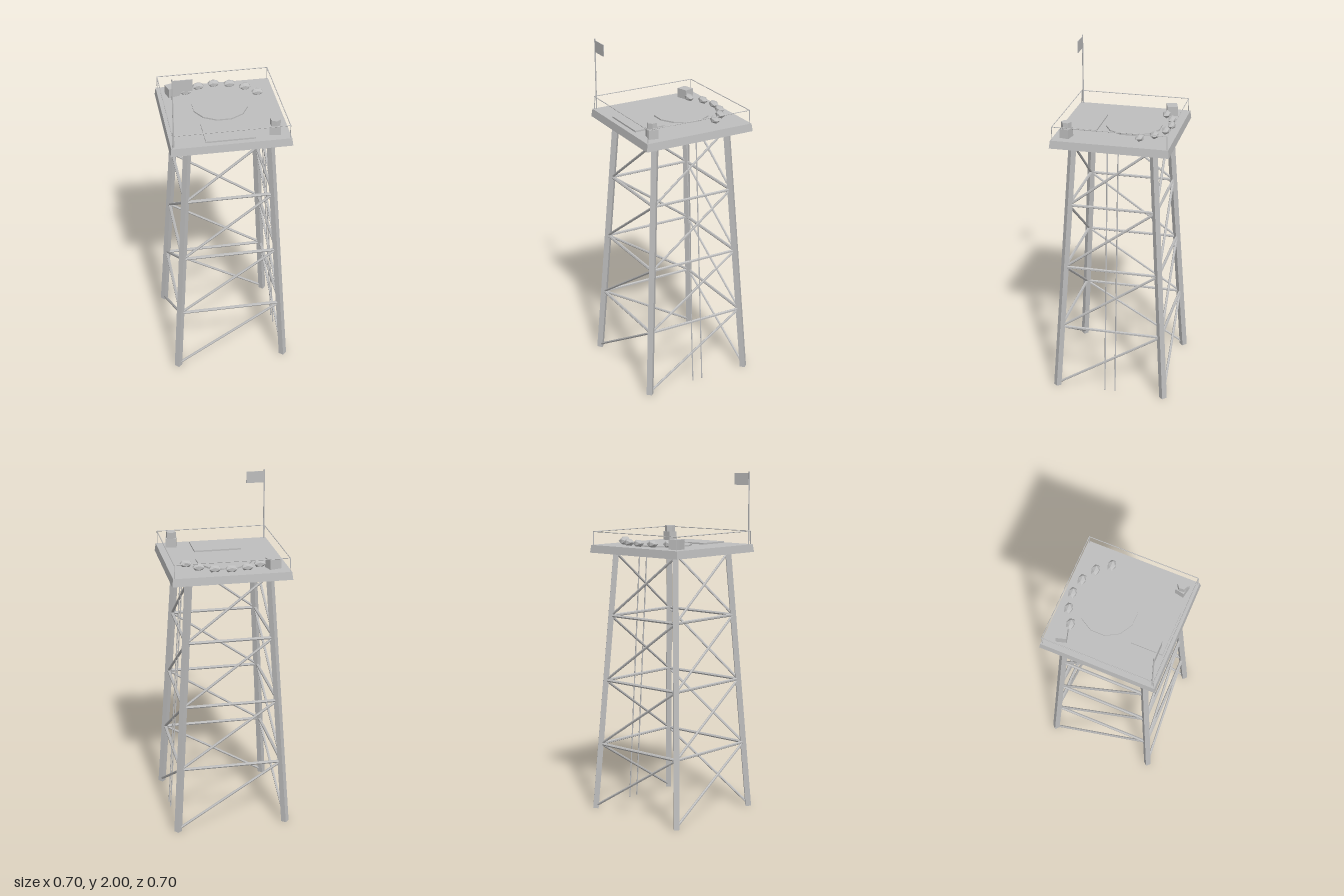
import * as THREE from 'three';

export function createModel() {
  const model = new THREE.Group();
  model.name = 'watchtower';
  const grey = new THREE.MeshStandardMaterial({ color: 0xbebebe, flatShading: true });
  grey.name = 'plain grey';

  const DECK_BOTTOM = 1.535, DECK_TOP = 1.58;
  const V = (x, y, z) => new THREE.Vector3(x, y, z);

  function add(name, geometry, x = 0, y = 0, z = 0, turn = 0) {
    const mesh = new THREE.Mesh(geometry, grey);
    mesh.name = name;
    mesh.position.set(x, y, z);
    mesh.rotation.y = turn;
    model.add(mesh);
    return mesh;
  }

  // Straight bar between two points
  function bar(name, a, b, radius, sides = 6) {
    const d = b.clone().sub(a);
    const mid = a.clone().add(b).multiplyScalar(0.5);
    const mesh = add(name, new THREE.CylinderGeometry(radius, radius, d.length(), sides), mid.x, mid.y, mid.z);
    mesh.quaternion.setFromUnitVectors(V(0, 1, 0), d.normalize());
    return mesh;
  }

  // Corners in order around the tower; the legs lean inward with height
  const corners = [[-1, 1], [1, 1], [1, -1], [-1, -1]];
  const spread = (y) => 0.325 - 0.061 * y;
  const corner = (i, y) => {
    const [sx, sz] = corners[i % 4];
    return V(sx * spread(y), y, sz * spread(y));
  };

  // Legs, horizontal girts and one rising diagonal per bay on each side
  const levels = [0.015, 0.395, 0.78, 1.165, DECK_BOTTOM];
  for (let i = 0; i < 4; i++) {
    bar('leg', corner(i, 0.002), corner(i, DECK_BOTTOM + 0.01), 0.023, 4);
    for (let k = 0; k < 4; k++) {
      if (k > 0) bar('horizontalBrace', corner(i, levels[k]), corner(i + 1, levels[k]), 0.009);
      bar('diagonalBrace', corner(i, levels[k]), corner(i + 1, levels[k + 1]), 0.0075);
    }
  }

  // Ladder rails following the slope of the left side
  for (const z of [-0.031, 0.031]) {
    bar('ladderRail', V(spread(0), 0.005, z), V(spread(DECK_BOTTOM), DECK_BOTTOM + 0.01, z), 0.004);
  }

  // Deck with slightly tapered edges
  add('deck', new THREE.CylinderGeometry(0.333 * Math.SQRT2, 0.339 * Math.SQRT2, DECK_TOP - DECK_BOTTOM, 4, 1)
    .rotateY(Math.PI / 4), 0, (DECK_TOP + DECK_BOTTOM) / 2, 0);

  // Guard rail
  const R = 0.324, RAIL_Y = 1.657;
  for (let i = 0; i < 4; i++) {
    const [ax, az] = corners[i], [bx, bz] = corners[(i + 1) % 4];
    bar('railPost', V(ax * R, DECK_TOP, az * R), V(ax * R, RAIL_Y, az * R), 0.0025);
    bar('railBar', V(ax * R, RAIL_Y, az * R), V(bx * R, RAIL_Y, bz * R), 0.0025);
  }

  // Round pad and hatch plate
  add('roundPad', new THREE.CylinderGeometry(0.161, 0.161, 0.008, 12), 0, DECK_TOP + 0.004, -0.07, Math.PI / 12);
  add('hatchPlate', new THREE.BoxGeometry(0.277, 0.009, 0.185), -0.001, DECK_TOP + 0.0045, 0.21);

  // Arc of sandbags
  const bags = [[-0.173, -0.224], [-0.093, -0.27], [0, -0.287], [0.091, -0.27], [0.173, -0.224], [0.233, -0.152]];
  for (const [x, z] of bags) {
    add('sandbag', new THREE.IcosahedronGeometry(1, 0).scale(0.0376, 0.0225, 0.0255), x, DECK_TOP + 0.024, z);
  }

  // Crates, one carrying a six-sided drum
  add('crate', new THREE.BoxGeometry(0.069, 0.056, 0.06), -0.247, DECK_TOP + 0.028, -0.241, 0.28);
  add('smallCrate', new THREE.BoxGeometry(0.063, 0.052, 0.053), 0.252, DECK_TOP + 0.026, 0.26, -0.19);
  add('drum', new THREE.CylinderGeometry(0.03, 0.03, 0.037, 6), 0.252, DECK_TOP + 0.0705, 0.26, 0.1);

  // Flagpole and flag
  bar('flagPole', V(-0.317, DECK_TOP, 0.314), V(-0.317, 2, 0.314), 0.004);
  add('flag', new THREE.BoxGeometry(0.108, 0.068, 0.004), -0.263, 1.957, 0.314);

  return model;
}
